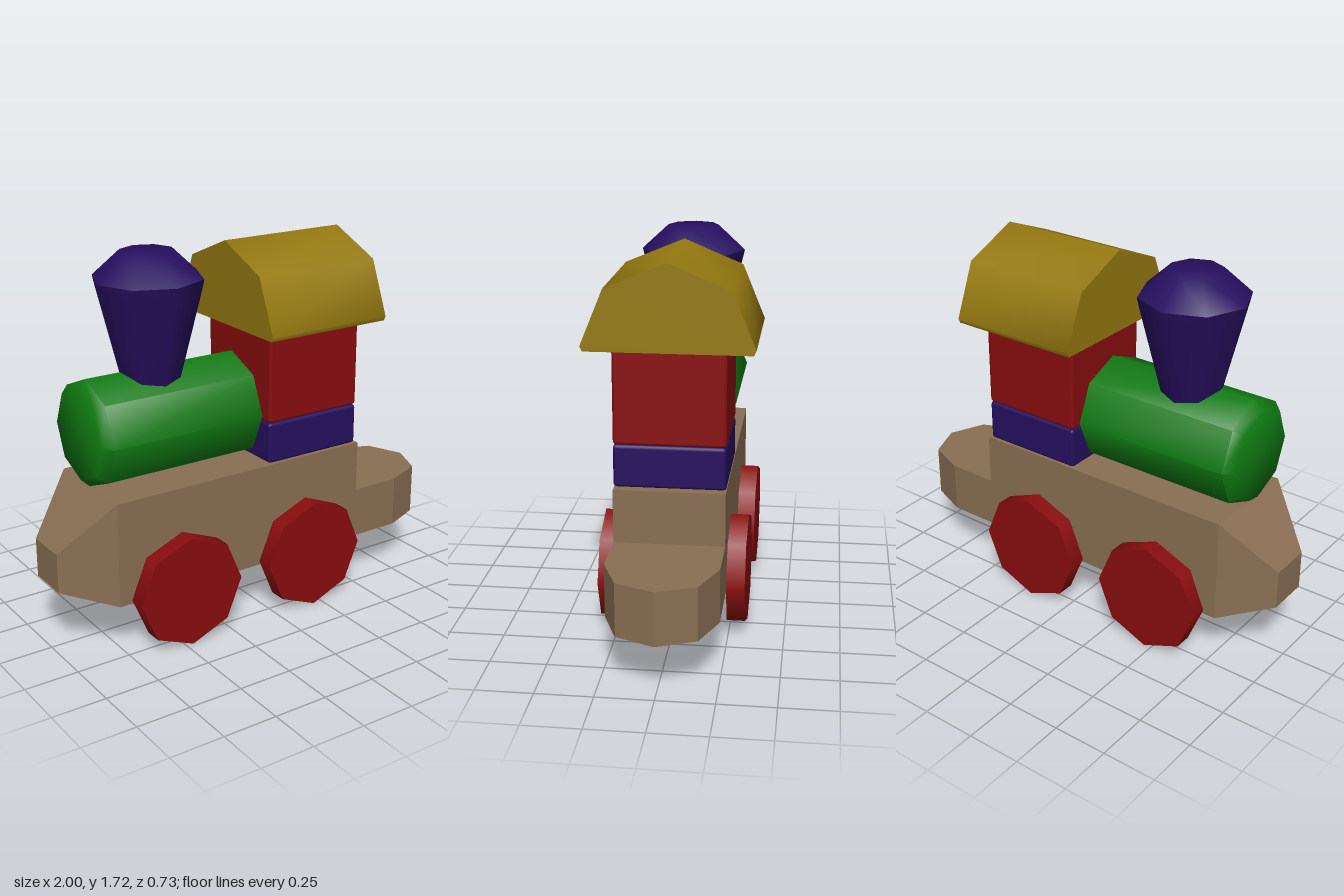
import * as THREE from 'three';
import { toCreasedNormals } from 'three/addons/utils/BufferGeometryUtils.js';
import { RoundedBoxGeometry } from 'three/addons/geometries/RoundedBoxGeometry.js';

const CREASE = 0.9; // keeps octagon sides smooth but caps sharp

function material(name, color) {
  const m = new THREE.MeshStandardMaterial({ color });
  m.name = name;
  return m;
}

// Loft of rectangular sections along x: [x, bottom, top, half width]
function loftGeometry(sections) {
  const rings = sections.map(([x, y0, y1, z]) => [[x, y0, -z], [x, y0, z], [x, y1, z], [x, y1, -z]]);
  const pos = [];
  const quad = (a, b, c, d) => pos.push(...a, ...b, ...c, ...a, ...c, ...d);
  for (let i = 0; i < rings.length - 1; i++) {
    const a = rings[i], b = rings[i + 1];
    for (let j = 0; j < 4; j++) {
      const k = (j + 1) % 4;
      quad(a[j], b[j], b[k], a[k]);
    }
  }
  quad(...rings[0]);
  const g = new THREE.BufferGeometry();
  g.setAttribute('position', new THREE.Float32BufferAttribute(pos, 3));
  g.computeVertexNormals();
  return g;
}

// Eight-sided turned solid from [radius, y] points, bottom to top
function turned(points) {
  return new THREE.LatheGeometry(points.map(([r, y]) => new THREE.Vector2(r, y)), 8);
}

export function createModel() {
  const group = new THREE.Group();
  const brown = material('wood brown', 0x8a6f54);
  const green = material('green', 0x0f7a12);
  const purple = material('purple', 0x270f60);
  const red = material('red', 0x8a0d0f);
  const yellow = material('yellow', 0x967a10);

  const add = (name, geometry, mat, x = 0, y = 0, z = 0) => {
    const mesh = new THREE.Mesh(geometry, mat);
    mesh.name = name;
    mesh.position.set(x, y, z);
    group.add(mesh);
    return mesh;
  };

  // Chassis: tapered nose, raised deck, low rounded tail
  add('chassis', loftGeometry([
    [-1, 0.31, 0.49, 0.1],
    [-0.78, 0.24, 0.72, 0.243],
    [0.51, 0.24, 0.72, 0.243],
    [0.51, 0.24, 0.48, 0.243],
    [0.75, 0.24, 0.48, 0.243],
    [0.93, 0.24, 0.48, 0.17],
    [1, 0.24, 0.48, 0],
  ]), brown);

  // Boiler lying along x with a chamfered nose
  const boiler = turned([[0, 0.04], [0.243, 0.04], [0.243, 0.78], [0.205, 0.82], [0, 0.82]]);
  boiler.rotateZ(Math.PI / 2);
  add('boiler', toCreasedNormals(boiler, CREASE), green, 0, 0.963, 0);

  // Funnel, its foot sunk into the boiler
  const funnel = turned([[0, 1.1], [0.12, 1.1], [0.236, 1.56], [0.245, 1.6], [0.12, 1.715], [0, 1.715]]);
  add('funnel', toCreasedNormals(funnel, CREASE), purple, -0.465, 0, 0);

  // Cab blocks
  add('cabBase', new RoundedBoxGeometry(0.49, 0.19, 0.488, 1, 0.015), purple, 0.245, 0.82, 0);
  add('cab', new RoundedBoxGeometry(0.49, 0.42, 0.488, 1, 0.015), red, 0.245, 1.125, 0);

  // Roof: gambrel profile run along x
  const half = [[0.355, 1.335], [0.365, 1.357], [0.265, 1.6]];
  const profile = [...half, [0, 1.71], ...half.map(([z, y]) => [-z, y]).reverse()];
  const roof = new THREE.ExtrudeGeometry(
    new THREE.Shape(profile.map(([z, y]) => new THREE.Vector2(z, y))),
    { depth: 0.62, bevelEnabled: false });
  roof.rotateY(Math.PI / 2);
  add('roof', toCreasedNormals(roof, CREASE), yellow, -0.075, 0, 0);

  // Wheels
  const wheel = new THREE.CylinderGeometry(0.257, 0.257, 0.082, 8);
  wheel.rotateX(Math.PI / 2);
  for (const [end, x] of [['front', -0.465], ['rear', 0.205]]) {
    for (const [side, s] of [['Near', 1], ['Far', -1]]) {
      add(`${end}Wheel${side}`, wheel, red, x, 0.257, s * 0.285);
    }
  }

  return group;
}
